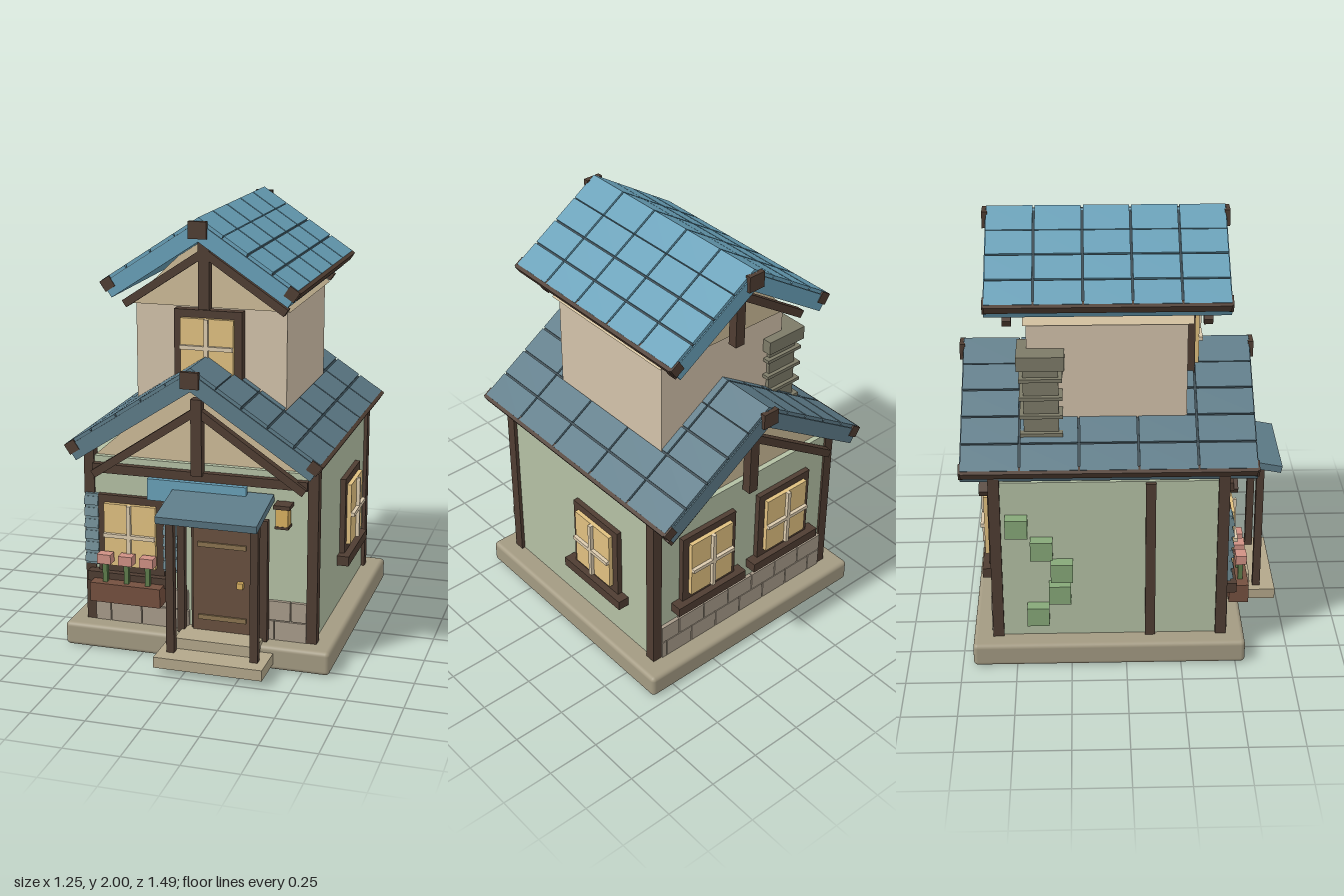
import * as THREE from 'three';
import { RoundedBoxGeometry } from 'three/addons/geometries/RoundedBoxGeometry.js';

const mat = (color, side = THREE.FrontSide) => new THREE.MeshStandardMaterial({ color, side });
const M = {
  stone: mat(0xa39a82), step: mat(0xb3a78a), brick: mat(0xa89b8a), green: mat(0xb4c0a4), cream: mat(0xd2c2aa),
  gable: mat(0xcdbb98), wood: mat(0x4f3d32), door: mat(0x68503f), strap: mat(0x8a7350), planter: mat(0x74503f),
  roofLow: mat(0x5d7b88), roofTop: mat(0x68a0b8), joint: mat(0x34454d), glass: mat(0xe0c080), bar: mat(0xdccbae),
  shutter: mat(0x6f8b93), chimney: mat(0x7d7b68), leaf: mat(0x86a878), stem: mat(0x5f7d4c), pink: mat(0xcf9184),
  gold: mat(0xd9b060),
};

function add(parent, name, geometry, material, x = 0, y = 0, z = 0) {
  const m = new THREE.Mesh(geometry, material);
  m.name = name;
  m.position.set(x, y, z);
  parent.add(m);
  return m;
}

// Box given by its centre and size
const box = (parent, name, material, x, y, z, w, h, d) =>
  add(parent, name, new THREE.BoxGeometry(w, h, d), material, x, y, z);

function group(parent, name, x = 0, y = 0, z = 0) {
  const g = new THREE.Group();
  g.name = name;
  g.position.set(x, y, z);
  parent.add(g);
  return g;
}

// Wooden beam between two points in a plane of constant z
function beam(parent, name, x0, y0, x1, y1, z, t, d) {
  const b = box(parent, name, M.wood, (x0 + x1) / 2, (y0 + y1) / 2, z, Math.hypot(x1 - x0, y1 - y0), t, d);
  b.rotation.z = Math.atan2(y1 - y0, x1 - x0);
}

// Triangular prism under a roof
function gable(parent, name, half, y0, y1, z0, z1) {
  const s = new THREE.Shape([[-half, y0], [half, y0], [0, y1]].map(p => new THREE.Vector2(...p)));
  add(parent, name, new THREE.ExtrudeGeometry(s, { depth: z1 - z0, bevelEnabled: false }), M.gable, 0, 0, z0);
}

// Two tiled slopes with eave boards, corner caps and ridge blocks
function roof(parent, name, material, ridge, len, z0, z1, rows) {
  const angle = Math.atan(0.66), t = 0.088, cols = 5, gap = 0.009;
  const depth = z1 - z0;
  const g = group(parent, name, 0, ridge, (z0 + z1) / 2);
  for (const s of [-1, 1]) {
    const slope = group(g, name + 'Slope');
    slope.rotation.z = -s * angle;
    box(slope, 'roofSlab', material, s * len / 2, -0.016 - (t - 0.016) / 2, 0, len, t - 0.016, depth);
    box(slope, 'tileJoints', M.joint, s * len / 2, -0.013, 0, len - 0.01, 0.007, depth - 0.01);
    const tw = len / rows, td = depth / cols;
    for (let r = 0; r < rows; r++) for (let c = 0; c < cols; c++)
      box(slope, 'roofTile', material, s * (r + 0.5) * tw, -0.007, -depth / 2 + (c + 0.5) * td,
        tw - (r ? gap : 0), 0.014, td - gap);
    box(slope, 'eaveBoard', M.wood, s * (len - 0.005), -0.022, 0, 0.035, 0.04, depth - 0.01);
    for (const e of [-1, 1])
      box(slope, 'eaveCap', M.wood, s * (len - 0.018), -0.028, e * (depth / 2 - 0.005), 0.052, 0.052, 0.018);
  }
  for (const e of [-1, 1]) box(g, 'ridgeBlock', M.wood, 0, -0.053, e * (depth / 2 + 0.003), 0.082, 0.075, 0.025);
}

// King post and two diagonal braces
function truss(parent, z, postLow, postHigh, outX, outY, inY) {
  const g = group(parent, 'gableTruss');
  box(g, 'kingPost', M.wood, 0, (postLow + postHigh) / 2, z, 0.05, postHigh - postLow, 0.045);
  for (const s of [-1, 1]) beam(g, 'brace', s * outX, outY, s * 0.01, inY, z, 0.036, 0.04);
}

// Window facing local +z, with its origin on the wall
function windowUnit(parent, name, x, y, z, turn, depth = 0.025, sill = true, h = 0.365) {
  const g = group(parent, name, x, y, z), w = 0.315, f = 0.035;
  g.rotation.y = turn;
  for (const s of [-1, 1]) {
    box(g, 'frameSide', M.wood, s * (w - f) / 2, 0, depth / 2, f, h, depth);
    box(g, 'frameRail', M.wood, 0, s * (h - f) / 2, depth / 2, w, f, depth);
  }
  box(g, 'pane', M.glass, 0, 0, (depth + 0.02) / 2, w - 2 * f, h - 2 * f, depth + 0.02);
  box(g, 'verticalBar', M.bar, 0, 0, depth + 0.028, 0.018, h - 2 * f, 0.018);
  box(g, 'crossBar', M.bar, 0, 0, depth + 0.028, w - 2 * f, 0.018, 0.018);
  if (sill) box(g, 'sill', M.wood, 0, -h / 2 - 0.023, 0.028, 0.405, 0.047, 0.056);
}

// Two staggered courses of facing stones along a wall
function courses(parent, x0, x1, z) {
  const g = group(parent, 'stoneFacing');
  for (let r = 0; r < 2; r++) {
    for (let a = x0 - (r ? 0 : 0.075); a < x1 - 0.01; a += 0.15) {
      const l = Math.max(a, x0), e = Math.min(a + 0.145, x1);
      if (e - l > 0.02) box(g, 'facingStone', M.brick, (l + e) / 2, 0.157 + r * 0.095, z, e - l, 0.09, 0.03);
    }
  }
}

export function createModel() {
  const house = new THREE.Group();
  house.name = 'house';

  // Foundation, steps and walls
  add(house, 'foundation', new RoundedBoxGeometry(1.25, 0.11, 1.245, 3, 0.02), M.stone, 0, 0.055, -0.078);
  box(house, 'lowerStep', M.step, 0.12, 0.055, 0.63, 0.5, 0.05, 0.21);
  box(house, 'upperStep', M.step, 0.12, 0.105, 0.53, 0.38, 0.05, 0.17);
  box(house, 'lowerWalls', M.green, 0, 0.5, -0.075, 1.06, 0.8, 1.05);
  box(house, 'upperWalls', M.cream, 0, 1.27, -0.078, 0.7, 0.63, 0.705);
  gable(house, 'lowerGable', 0.5, 0.9, 1.34, -0.575, 0.425);
  gable(house, 'upperGable', 0.37, 1.58, 1.94, -0.445, 0.3);
  for (const x of [-0.523, 0.523]) for (const z of [-0.585, 0.435])
    box(house, 'cornerPost', M.wood, x, 0.53, z, 0.048, 0.84, 0.05);
  box(house, 'sidePost', M.wood, -0.535, 0.5, 0.11, 0.03, 0.79, 0.045);
  courses(house, -0.5, -0.05, 0.452);
  courses(house, 0.28, 0.5, 0.452);
  courses(house, -0.5, 0.5, -0.602);

  // Roofs and gable timbers
  roof(house, 'lowerRoof', M.roofLow, 1.37, 0.7, -0.73, 0.58, 5);
  roof(house, 'upperRoof', M.roofTop, 2.0, 0.535, -0.607, 0.457, 4);
  for (const z of [0.48, -0.633]) truss(house, z, 0.86, 1.21, 0.49, 0.825, 1.15);
  for (const z of [0.36, -0.512]) truss(house, z, 1.585, 1.885, 0.37, 1.59, 1.83);
  box(house, 'frontBeam', M.wood, 0, 0.85, 0.465, 1.0, 0.042, 0.03);

  // Chimney with projecting courses
  const chimney = group(house, 'chimney', -0.345, 0, -0.37);
  box(chimney, 'shaft', M.chimney, 0, 1.2, 0, 0.155, 0.42, 0.155);
  box(chimney, 'cap', M.chimney, 0, 1.432, 0, 0.21, 0.065, 0.21);
  for (let i = 0; i < 4; i++) box(chimney, 'course', M.chimney, 0, 1.09 + i * 0.087, 0, 0.2, 0.016, 0.19);

  // Windows
  windowUnit(house, 'frontWindow', -0.32, 0.543, 0.45, 0);
  windowUnit(house, 'sideWindow', 0.53, 0.543, -0.208, Math.PI / 2);
  for (const x of [-0.23, 0.23]) windowUnit(house, 'backWindow', x, 0.585, -0.6, Math.PI);
  windowUnit(house, 'upperWindow', 0, 1.405, 0.275, 0, 0.045, false, 0.33);

  // Shutters with slats
  for (const x of [-0.508, -0.132]) {
    const g = group(house, 'shutter', x, 0.555, 0.465);
    box(g, 'shutterBoard', M.shutter, 0, 0, 0, 0.064, 0.34, 0.02);
    for (let i = 0; i < 6; i++) box(g, 'slat', M.shutter, 0, -0.138 + i * 0.055, 0.012, 0.066, 0.04, 0.014).rotation.x = -0.2;
  }

  // Flower box
  box(house, 'flowerBox', M.planter, -0.322, 0.285, 0.52, 0.335, 0.09, 0.09);
  for (const x of [-0.425, -0.323, -0.222]) {
    box(house, 'stem', M.stem, x, 0.375, 0.53, 0.022, 0.1, 0.022);
    box(house, 'flower', M.pink, x, 0.443, 0.53, 0.065, 0.045, 0.05);
  }

  // Door
  const door = group(house, 'door', 0.117, 0.395, 0.465);
  box(door, 'doorFrame', M.wood, 0, 0, -0.005, 0.3, 0.54, 0.03);
  box(door, 'doorPanel', M.door, 0, -0.003, 0.01, 0.275, 0.525, 0.03);
  for (const y of [-0.2, 0.148]) box(door, 'strapHinge', M.strap, 0, y, 0.028, 0.225, 0.022, 0.012);
  box(door, 'handle', M.gold, 0.087, -0.028, 0.035, 0.028, 0.028, 0.028);

  // Porch
  for (const x of [-0.073, 0.313]) {
    box(house, 'porchPost', M.wood, x, 0.4, 0.648, 0.036, 0.65, 0.036);
    box(house, 'wallPost', M.wood, x, 0.4, 0.492, 0.034, 0.57, 0.034);
  }
  box(house, 'porchRoof', M.roofLow, 0.118, 0.754, 0.602, 0.457, 0.034, 0.29).rotation.x = 0.19;
  box(house, 'porchFlashing', M.roofTop, 0, 0.78, 0.492, 0.46, 0.1, 0.025);

  // Lantern
  const lantern = group(house, 'lantern', 0.397, 0.71, 0.492);
  box(lantern, 'lanternGlass', M.gold, 0, 0, 0, 0.055, 0.085, 0.055);
  box(lantern, 'lanternCap', M.wood, 0, 0.05, 0, 0.075, 0.018, 0.07);
  box(lantern, 'lanternBase', M.wood, 0, -0.045, 0, 0.062, 0.012, 0.06);
  box(lantern, 'lanternArm', M.wood, 0, 0.05, -0.025, 0.02, 0.015, 0.04);

  // Climbing plant on the right wall
  [-0.4, -0.3, -0.29, -0.38, -0.49].forEach((z, i) =>
    box(house, 'leafClump', M.leaf, -0.558, 0.235 + i * 0.1145, z, 0.06, 0.092, 0.1));

  return house;
}
